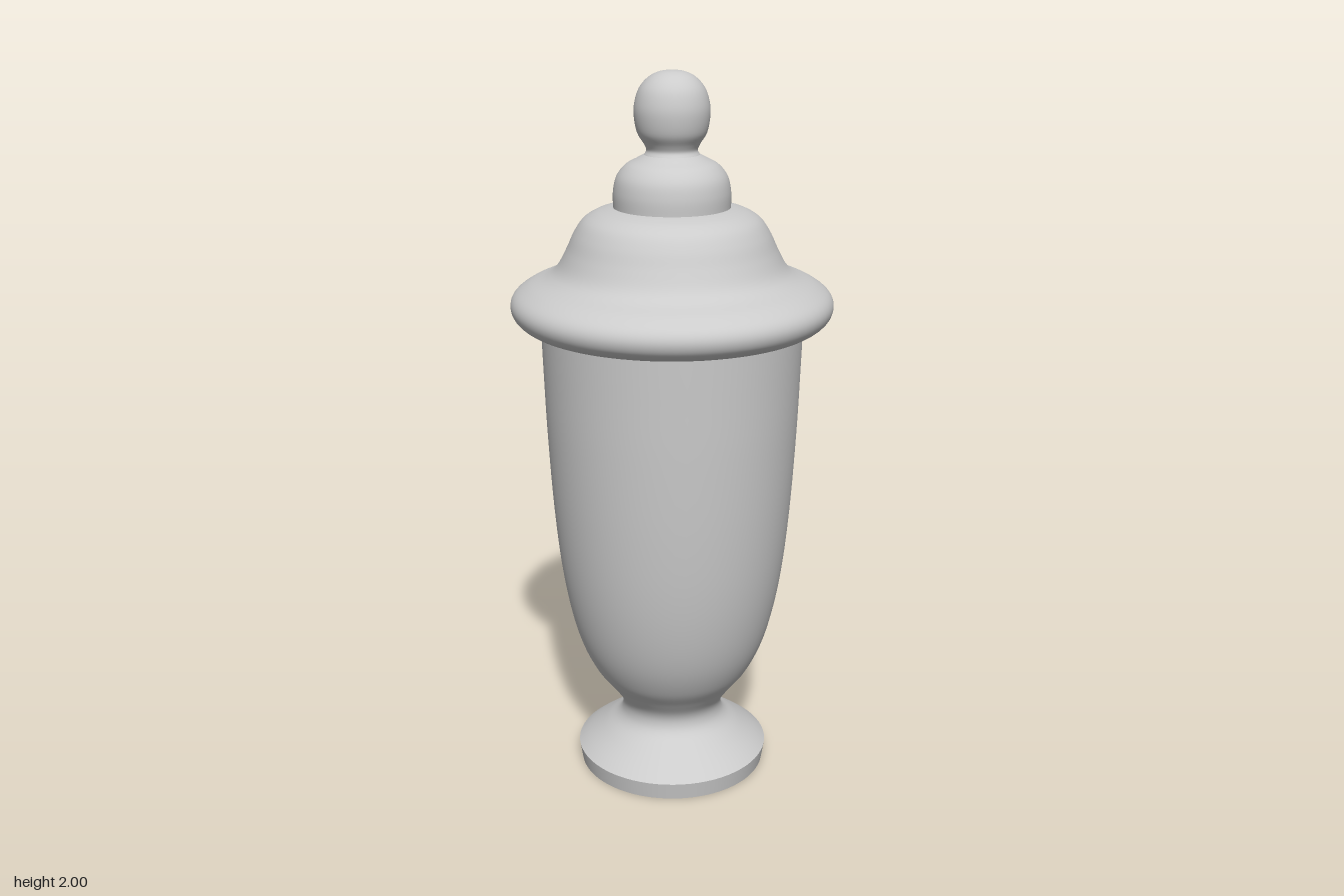
import * as THREE from 'three';

const material = new THREE.MeshStandardMaterial({ color: 0xcccccc, side: THREE.DoubleSide });

// One smooth stretch of turned profile, given as [radius, height] pairs.
function turned(name, pairs, samples) {
  const points = pairs.map(([r, y]) => new THREE.Vector2(r, y));
  const profile = samples ? new THREE.SplineCurve(points).getPoints(samples) : points;
  profile.forEach((p) => { p.x = Math.max(p.x, 0); });
  const mesh = new THREE.Mesh(new THREE.LatheGeometry(profile, 72), material);
  mesh.name = name;
  return mesh;
}

function part(name, ...meshes) {
  const group = new THREE.Group();
  group.name = name;
  group.add(...meshes);
  return group;
}

export function createModel() {
  const model = new THREE.Group();
  model.name = 'liddedUrn';

  // Hollow foot with a crisp edge band
  model.add(part('foot',
    turned('footHollow', [[0, 0.14], [0.07, 0.135], [0.12, 0.115], [0.18, 0.075], [0.262, 0]], 16),
    turned('footRim', [[0.262, 0], [0.268, 0]]),
    turned('footBand', [[0.268, 0], [0.276, 0.05]])));

  // Flared foot top, narrow neck and tall bowl in one sweep
  model.add(turned('body', [
    [0.276, 0.05], [0.25, 0.07], [0.2, 0.105], [0.16, 0.135], [0.145, 0.165], [0.15, 0.2],
    [0.18, 0.245], [0.225, 0.305], [0.265, 0.39], [0.295, 0.5], [0.318, 0.64],
    [0.335, 0.82], [0.347, 1.03], [0.353, 1.2], [0.357, 1.33],
  ], 90));

  // Lid: flat underside, rolled rim and domed shoulder
  model.add(part('lid',
    turned('lidUnderside', [[0, 1.322], [0.365, 1.322]]),
    turned('lidDome', [
      [0.365, 1.322], [0.4, 1.332], [0.428, 1.355], [0.437, 1.385], [0.425, 1.413],
      [0.39, 1.438], [0.34, 1.46], [0.31, 1.485], [0.285, 1.53], [0.264, 1.575],
      [0.24, 1.61], [0.21, 1.63], [0.18, 1.64], [0.157, 1.645],
    ], 80),
    turned('lidStep', [
      [0.157, 1.645], [0.157, 1.685], [0.148, 1.725], [0.125, 1.755], [0.095, 1.772],
      [0.074, 1.783],
    ], 30)));

  // Rounded finial on top
  model.add(turned('knob', [
    [0.074, 1.783], [0.068, 1.795], [0.075, 1.812], [0.092, 1.84], [0.1, 1.88],
    [0.099, 1.915], [0.087, 1.953], [0.063, 1.981], [0.033, 1.996], [0, 2],
  ], 45));

  return model;
}
